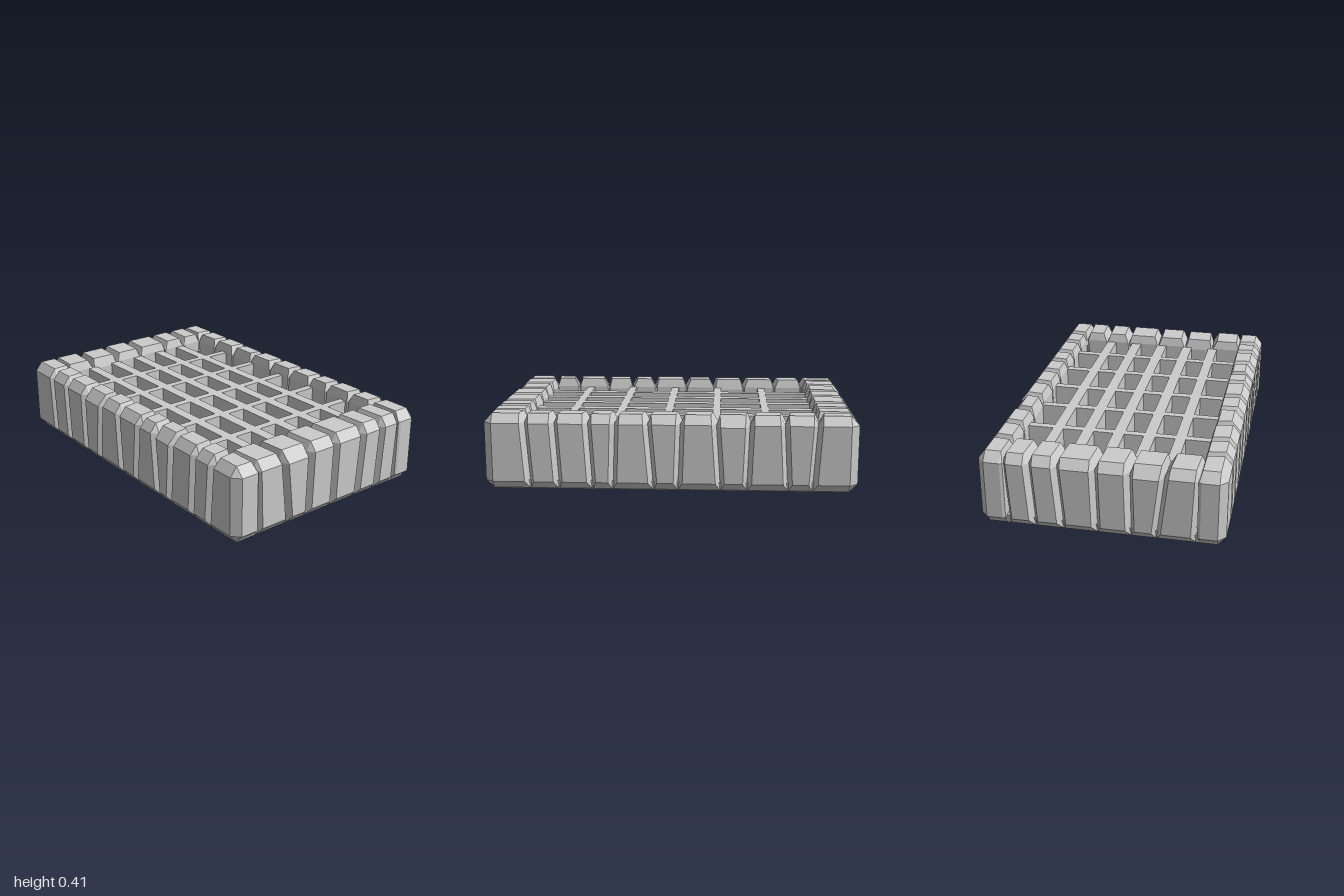
import * as THREE from 'three';
import { ConvexGeometry } from 'three/addons/geometries/ConvexGeometry.js';

const HEIGHT = 0.415;
const BASE_TOP = 0.05;
const GRATE_TOP = 0.362;

// Seams along each wall: [position at bottom, position at top]
const frontSeams = [
  [-1, -1], [-0.74, -0.765], [-0.575, -0.595], [-0.39, -0.4], [-0.25, -0.205], [-0.013, -0.037],
  [0.125, 0.168], [0.34, 0.305], [0.44, 0.473], [0.634, 0.662], [0.775, 0.806], [1, 1],
];
const backSeams = [
  [-1, -1], [-0.76, -0.785], [-0.63, -0.605], [-0.41, -0.425], [-0.27, -0.24], [-0.04, -0.055],
  [0.09, 0.125], [0.31, 0.295], [0.42, 0.445], [0.6, 0.625], [0.755, 0.785], [1, 1],
];
const sideSeams = [
  [-0.49, -0.515], [-0.35, -0.378], [-0.2, -0.233], [-0.02, -0.032],
  [0.157, 0.145], [0.285, 0.333], [0.49, 0.508],
];

// One chamfered stone between two slanted seams; place() maps (along, up, out) to a point
function stoneGeometry(from, to, inner, outer, place, { corners, skew, chip }) {
  const points = [];
  for (const end of [0, 1]) for (const out of [0, 1]) for (const top of [0, 1]) {
    const corner = corners[end];
    const worn = top && chip;
    const cu = corner ? 0.045 : 0.024;
    const uprightCut = out ? cu : 0.006; // the inside of the wall is almost flush
    const cv = (out ? 0.04 : 0.015) * (worn ? 1.3 : 1);
    const cy = (top ? 0.05 : 0.045) * (worn ? 1.25 : 1);
    const shift = out || corner ? 0 : skew;
    const add = (du, dv, dy) => {
      const y = top ? HEIGHT - dy : 0.001 + dy;
      const seam = end ? to : from;
      const u = seam[0] + (seam[1] - seam[0]) * (y / HEIGHT) + shift + (end ? -du : du);
      points.push(place(u, y, out ? outer - dv : inner + dv));
    };
    add(0, cv, cy);
    add(uprightCut, 0, cy);
    // grooves close to a point at the foot of the wall
    add(top || corner ? cu : 0, cv, 0);
  }
  return new ConvexGeometry(points);
}

// A row of stones forming one wall of the rim
function stoneWall(name, seams, inner, outer, place, { chipped, hasCorners, skew }, material) {
  const wall = new THREE.Group();
  wall.name = name;
  const last = seams.length - 2;
  for (let i = 0; i <= last; i++) {
    const options = {
      corners: [hasCorners && i === 0, hasCorners && i === last],
      skew,
      chip: chipped.includes(i),
    };
    const stone = new THREE.Mesh(
      stoneGeometry(seams[i], seams[i + 1], inner, outer, place, options), material);
    stone.name = 'rimStone';
    wall.add(stone);
  }
  return wall;
}

// Slab with tapered sides, just inside the feet of the stones
function baseGeometry() {
  const points = [];
  for (const sx of [-1, 1]) for (const sz of [-1, 1]) {
    points.push(new THREE.Vector3(sx * 0.96, 0, sz * 0.607));
    points.push(new THREE.Vector3(sx * 0.97, BASE_TOP, sz * 0.615));
  }
  return new ConvexGeometry(points);
}

function rectangle(path, x0, x1, y0, y1) {
  path.moveTo(x0, y0);
  path.lineTo(x1, y0);
  path.lineTo(x1, y1);
  path.lineTo(x0, y1);
  path.closePath();
  return path;
}

// Grate with a grid of rectangular openings
function grateGeometry() {
  const columns = [[-0.8, -0.54], [-0.497, -0.265], [-0.222, 0.005], [0.05, 0.275], [0.32, 0.545], [0.59, 0.81]];
  const rows = [[-0.52, -0.366], [-0.308, -0.2], [-0.138, -0.031], [0.031, 0.138], [0.2, 0.308], [0.366, 0.52]];
  const shape = rectangle(new THREE.Shape(), -0.86, 0.86, -0.56, 0.56);
  for (const [x0, x1] of columns) {
    for (const [y0, y1] of rows) shape.holes.push(rectangle(new THREE.Path(), x0, x1, y0, y1));
  }
  const geometry = new THREE.ExtrudeGeometry(shape, { depth: GRATE_TOP - BASE_TOP, bevelEnabled: false });
  geometry.rotateX(-Math.PI / 2);
  geometry.translate(0, BASE_TOP, 0);
  return geometry;
}

export function createModel() {
  const model = new THREE.Group();
  model.name = 'stoneRimmedGrate';
  const material = new THREE.MeshStandardMaterial({ color: 0xcccccc, flatShading: true });
  const at = (x, y, z) => new THREE.Vector3(x, y, z);

  // Bottom slab, also the floor of the openings
  const base = new THREE.Mesh(baseGeometry(), material);
  base.name = 'base';
  model.add(base);

  const grate = new THREE.Mesh(grateGeometry(), material);
  grate.name = 'grate';
  model.add(grate);

  // Rim walls; the front and back rows include the corner stones
  const front = { chipped: [3, 7], hasCorners: true, skew: -0.012 };
  const back = { chipped: [3], hasCorners: true, skew: -0.01 };
  const side = { chipped: [4], hasCorners: false, skew: 0.008 };
  model.add(
    stoneWall('frontWall', frontSeams, 0.5, 0.645, (u, y, v) => at(u, y, v), front, material),
    stoneWall('backWall', backSeams, 0.505, 0.645, (u, y, v) => at(u, y, -v), back, material),
    stoneWall('leftWall', sideSeams, 0.785, 1, (u, y, v) => at(v, y, u), side, material),
    stoneWall('rightWall', sideSeams, 0.785, 1, (u, y, v) => at(-v, y, u), side, material),
  );
  return model;
}
